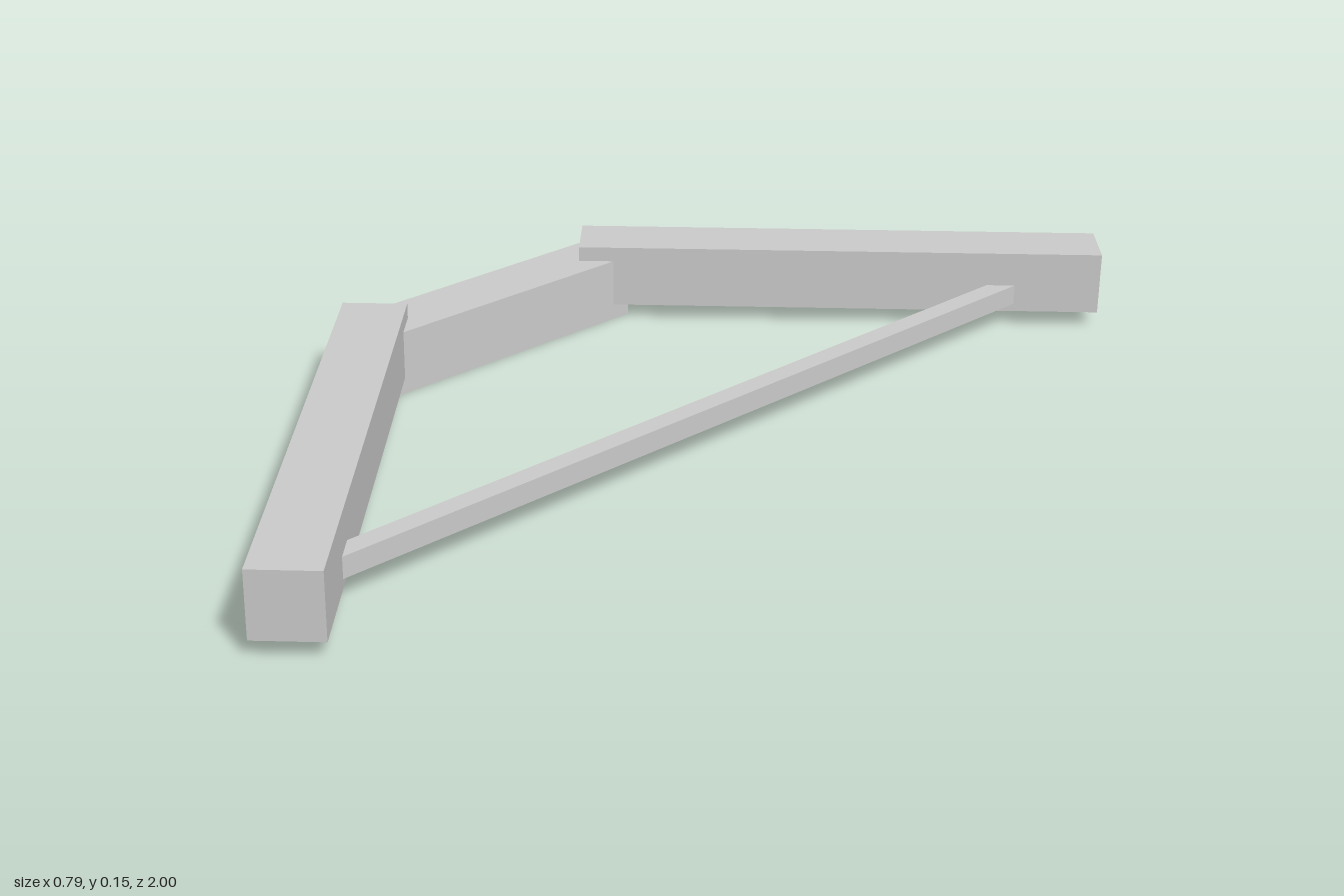
import * as THREE from 'three';

const material = new THREE.MeshStandardMaterial({ color: 0xcccccc, flatShading: true });

function beam(name, size, position, turn = 0) {
  const mesh = new THREE.Mesh(new THREE.BoxGeometry(...size), material);
  mesh.name = name;
  mesh.position.set(...position);
  mesh.rotation.y = turn;
  return mesh;
}

export function createModel() {
  const group = new THREE.Group();
  group.name = 'angledFrame';

  // Short beam joining the two arms, slightly lower than them
  group.add(beam('crossBeam', [0.118, 0.12, 0.606], [-0.324, 0.06, 0.007]));

  // Two long arms splayed at 45 degrees
  for (const [name, side] of [['frontArm', 1], ['backArm', -1]]) {
    group.add(beam(name, [1.0, 0.118, 0.118], [0, 0.089, side * 0.605], -side * Math.PI / 4));
  }

  // Thin tie rod between the arms
  group.add(beam('tieRod', [0.038, 0.038, 1.613], [0.262, 0.064, 0.003]));

  return group;
}
